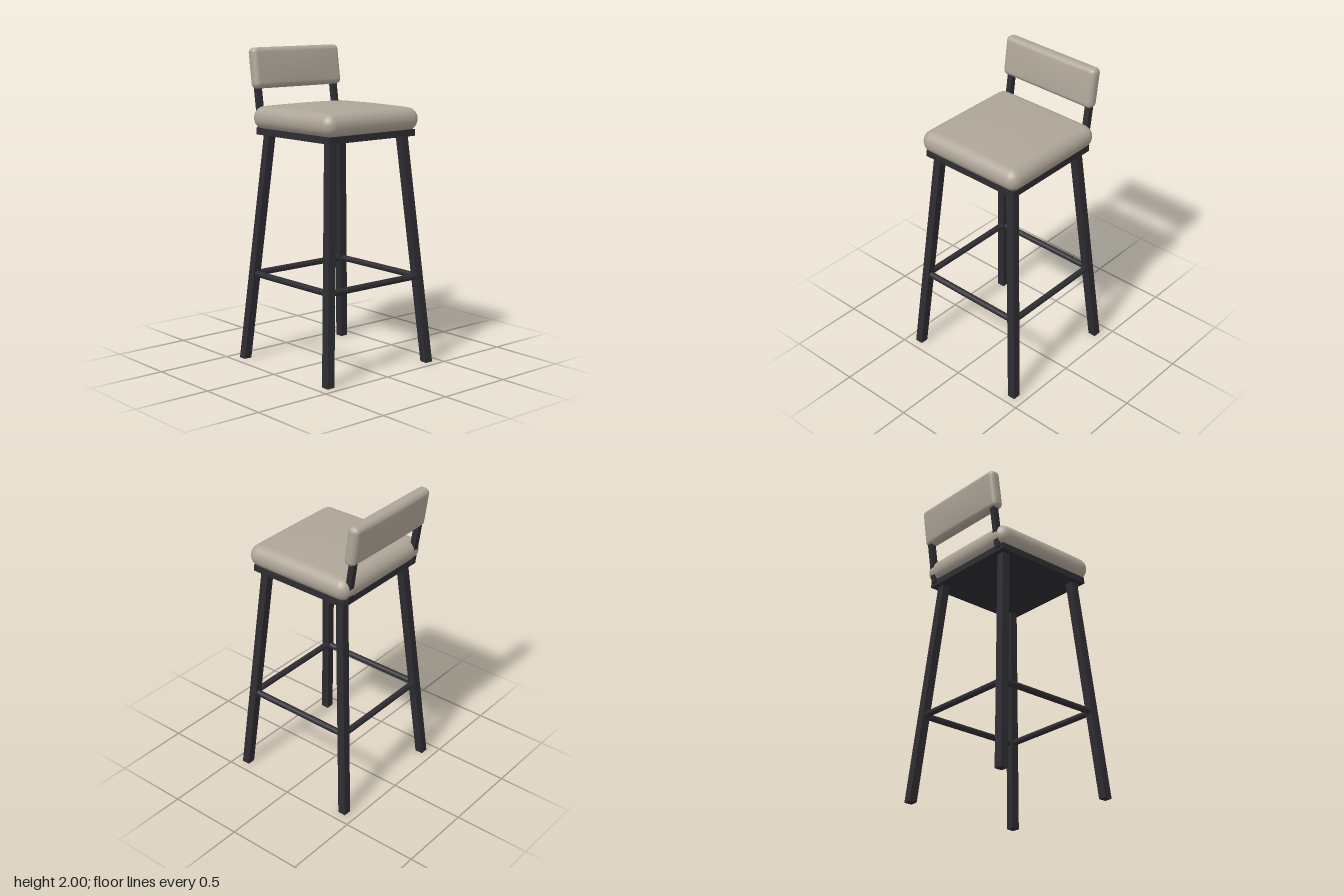
import * as THREE from 'three';
import { mergeVertices } from 'three/addons/utils/BufferGeometryUtils.js';

const CZ = 0.007; // centre of seat and legs in z

// Rounded box whose faces along one axis swell into a soft crown.
function cushion(size, radius, axis, crownPlus, crownMinus) {
  const round = 5, flat = 8, n = round * 2 + flat;
  const half = size.map((s) => s / 2);
  const g = new THREE.BoxGeometry(2, 2, 2, n, n, n);
  g.deleteAttribute('uv');
  g.deleteAttribute('normal');
  const pos = g.attributes.position;
  for (let i = 0; i < pos.count; i++) {
    const core = [], dir = [];
    const cells = [pos.getX(i), pos.getY(i), pos.getZ(i)].map((v) => Math.round(((v + 1) / 2) * n));
    cells.forEach((c, k) => {
      const inner = half[k] - radius;
      const t = Math.min(Math.max((c - round) / flat, 0), 1);
      core[k] = (t * 2 - 1) * inner;
      const over = c < round ? c - round : Math.max(c - round - flat, 0);
      dir[k] = Math.tan(((over / round) * Math.PI) / 4);
    });
    const d = new THREE.Vector3(...dir).normalize().multiplyScalar(radius);
    const p = [core[0] + d.x, core[1] + d.y, core[2] + d.z];
    let swell = 1;
    for (let k = 0; k < 3; k++) if (k !== axis) swell *= 1 - (p[k] / half[k]) ** 2;
    const side = p[axis] / half[axis];
    p[axis] += swell * (side > 0 ? crownPlus : crownMinus) * side;
    pos.setXYZ(i, ...p);
  }
  const out = mergeVertices(g, 1e-5);
  out.computeVertexNormals();
  return out;
}

// Square bar with level ends, leaning from one point to another.
function leaningBar(from, to, w, d) {
  const h = to[1] - from[1];
  const g = new THREE.BoxGeometry(w, h, d);
  const pos = g.attributes.position;
  for (let i = 0; i < pos.count; i++) {
    const t = pos.getY(i) / h + 0.5;
    pos.setXYZ(i,
      pos.getX(i) + from[0] + (to[0] - from[0]) * t,
      from[1] + h * t,
      pos.getZ(i) + from[2] + (to[2] - from[2]) * t);
  }
  g.computeVertexNormals();
  return g;
}

export function createModel() {
  const stool = new THREE.Group();
  stool.name = 'barStool';
  const metal = new THREE.MeshStandardMaterial({ color: 0x2d2d32 });
  metal.name = 'darkMetal';
  const fabric = new THREE.MeshStandardMaterial({ color: 0xaea598 });
  fabric.name = 'beigeUpholstery';

  const add = (name, geometry, material, x = 0, y = 0, z = 0) => {
    const mesh = new THREE.Mesh(geometry, material);
    mesh.name = name;
    mesh.position.set(x, y, z);
    stool.add(mesh);
    return mesh;
  };

  // Splayed legs
  for (const sx of [-1, 1]) for (const sz of [-1, 1]) {
    const name = (sz > 0 ? 'front' : 'back') + (sx > 0 ? 'Left' : 'Right') + 'Leg';
    add(name, leaningBar(
      [sx * 0.414, 0, CZ + sz * 0.414],
      [sx * 0.292, 1.47, CZ + sz * 0.292], 0.053, 0.053), metal);
  }

  // Ring of round foot rails
  const reach = 0.367;
  for (const s of [-1, 1]) {
    const rail = new THREE.CylinderGeometry(0.02, 0.02, reach * 2, 16);
    add(s > 0 ? 'frontFootRail' : 'backFootRail', rail, metal, 0, 0.562, CZ + s * reach).rotation.z = Math.PI / 2;
    add(s > 0 ? 'leftFootRail' : 'rightFootRail', rail, metal, s * reach, 0.562, CZ).rotation.x = Math.PI / 2;
  }

  // Seat base and crowned cushion
  add('seatFrame', new THREE.BoxGeometry(0.704, 0.042, 0.704), metal, 0, 1.479, CZ);
  add('seatCushion', cushion([0.764, 0.142, 0.764], 0.068, 1, 0.017, 0), fabric, 0, 1.564, CZ);

  // Back posts
  for (const s of [-1, 1]) {
    add(s > 0 ? 'leftBackPost' : 'rightBackPost', leaningBar(
      [s * 0.311, 1.475, -0.341], [s * 0.311, 1.78, -0.386], 0.037, 0.036), metal);
  }

  // Tilted padded backrest
  add('backrest', cushion([0.704, 0.258, 0.077], 0.032, 2, 0.008, 0.008), fabric, 0, 1.87, -0.387)
    .rotation.x = -0.14;

  return stool;
}
